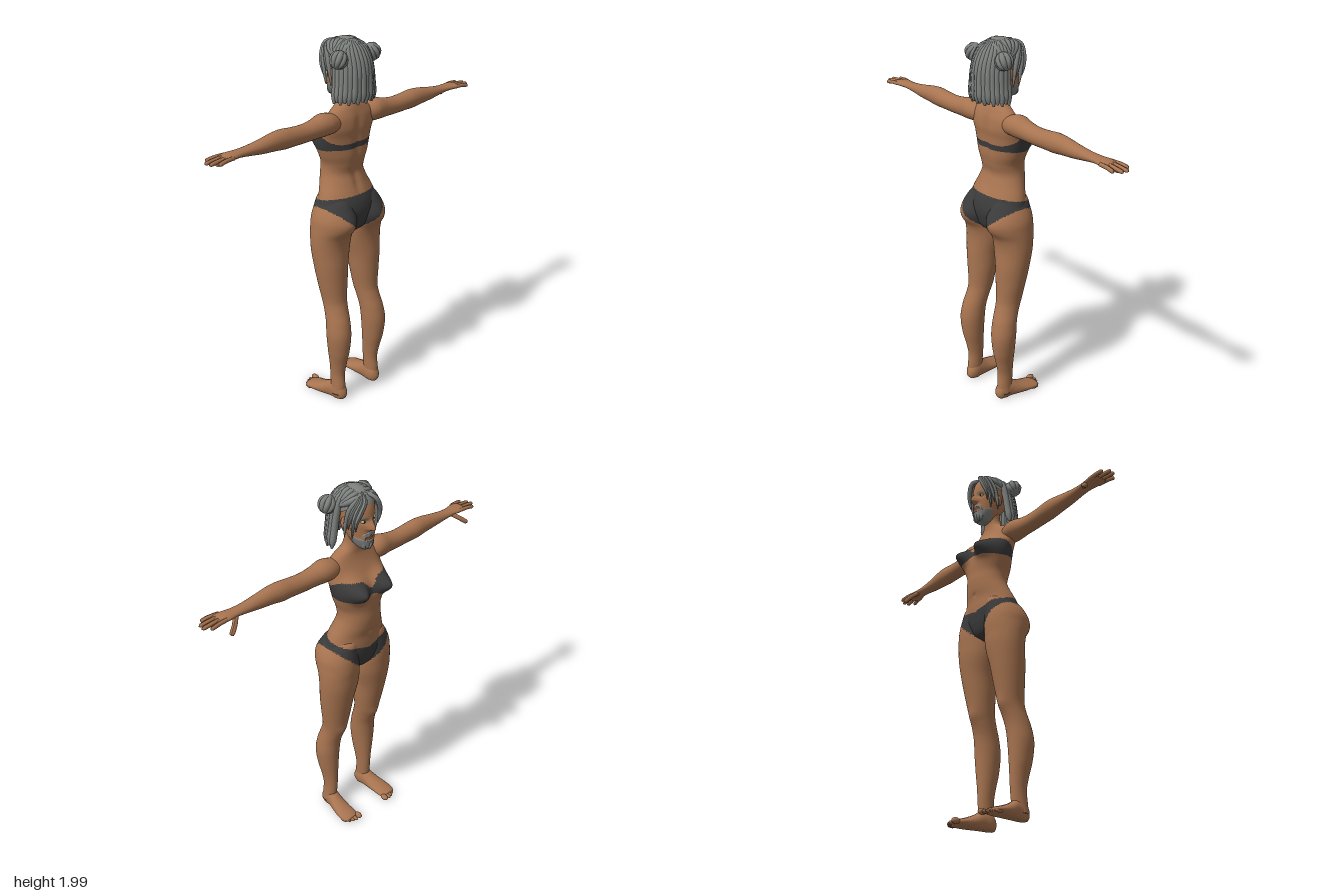
import * as THREE from 'three';

const mat = (name, color) => {
  const m = new THREE.MeshStandardMaterial({ color });
  m.name = name;
  return m;
};
const gauss = (d, s) => Math.exp(-((d / s) ** 2));
const smooth = (a, b, v) => { // works with a > b too
  const t = Math.min(1, Math.max(0, (v - a) / (b - a)));
  return t * t * (3 - 2 * t);
};

// Smooth interpolation of section rows [t, ca, cb, ra, rb] at t
function section(rows, t) {
  let k = 0;
  while (k < rows.length - 2 && t > rows[k + 1][0]) k++;
  const p = rows[k], q = rows[k + 1], h = q[0] - p[0], u = (t - p[0]) / h;
  const before = rows[Math.max(0, k - 1)], after = rows[Math.min(rows.length - 1, k + 2)];
  return p.map((_, c) => {
    const m0 = (q[c] - before[c]) / (q[0] - before[0]) * h;
    const m1 = (after[c] - p[c]) / (after[0] - p[0]) * h;
    const u2 = u * u, u3 = u2 * u;
    return (2 * u3 - 3 * u2 + 1) * p[c] + (u3 - 2 * u2 + u) * m0 + (3 * u2 - 2 * u3) * q[c] + (u3 - u2) * m1;
  });
}

// Closed loft through elliptical sections; `place` maps (t, a, b) to a point, `paint` picks a material
function loft(rows, rings, seg, place, paint = () => 0) {
  const pos = [], t0 = rows[0][0], t1 = rows[rows.length - 1][0];
  for (let i = -1; i <= rings + 1; i++) {
    const end = i < 0 || i > rings;
    const t = t0 + (t1 - t0) * Math.min(1, Math.max(0, i / rings));
    const [, ca, cb, ra, rb] = section(rows, t);
    for (let j = 0; j < seg; j++) {
      const w = j / seg * Math.PI * 2, k = end ? 0.001 : 1;
      pos.push(...place(t, ca + ra * k * Math.cos(w), cb + rb * k * Math.sin(w)));
    }
  }
  const buckets = [];
  const tri = (...v) => {
    const c = [0, 1, 2].map(k => (pos[v[0] * 3 + k] + pos[v[1] * 3 + k] + pos[v[2] * 3 + k]) / 3);
    (buckets[paint(...c)] ??= []).push(...v);
  };
  for (let i = 0; i < rings + 2; i++) {
    for (let j = 0; j < seg; j++) {
      const a = i * seg + j, b = i * seg + (j + 1) % seg;
      tri(a, a + seg, b);
      tri(b, a + seg, b + seg);
    }
  }
  const g = new THREE.BufferGeometry(), index = [];
  g.setAttribute('position', new THREE.Float32BufferAttribute(pos, 3));
  buckets.forEach((list, m) => {
    g.addGroup(index.length, list.length, m);
    for (const v of list) index.push(v);
  });
  g.setIndex(index);
  g.computeVertexNormals();
  return g;
}

// Tapered tube along points
function strand(points, r, taper = u => 0.04 + 0.96 * Math.pow(Math.sin(Math.PI * Math.min(0.985, 0.12 + u * 0.88)), 0.6), n = 18) {
  const curve = new THREE.CatmullRomCurve3(points.map(p => new THREE.Vector3(...p)));
  const g = new THREE.TubeGeometry(curve, n, r, 8), p = g.attributes.position, v = new THREE.Vector3();
  for (let i = 0; i < p.count; i++) {
    const u = Math.floor(i / 9) / n, c = curve.getPointAt(u);
    v.fromBufferAttribute(p, i).sub(c).multiplyScalar(taper(u)).add(c);
    p.setXYZ(i, v.x, v.y, v.z);
  }
  g.computeVertexNormals();
  return g;
}
const ball = (x, y, z, rx, ry, rz) => new THREE.SphereGeometry(1, 20, 14).scale(rx, ry, rz).translate(x, y, z);
const finger = u => (u < 0.85 ? 1 : Math.sqrt(Math.max(0.001, 1 - ((u - 0.85) / 0.15) ** 2)));

function mirrored(geo) {
  const g = geo.clone().scale(-1, 1, 1), ix = g.index.array;
  for (let i = 0; i < ix.length; i += 3) [ix[i], ix[i + 1]] = [ix[i + 1], ix[i]];
  return g;
}

export function createModel() {
  const model = new THREE.Group();
  model.name = 'figure';
  const skin = mat('skin', 0xa87450), hair = mat('grey hair', 0x7d817e), cloth = mat('dark cloth', 0x3b3b3c);
  const lip = mat('lips', 0x8a5140), white = mat('eye white', 0xd8d4cc), dark = mat('dark iris', 0x2c2420);
  const add = (name, geo, m) => {
    const mesh = new THREE.Mesh(geo, m);
    mesh.name = name;
    model.add(mesh);
  };
  const both = (name, geo, m) => {
    add('left' + name, geo, m);
    add('right' + name, mirrored(geo), m);
  };

  // Bandeau and briefs, painted on the body by rule
  const clothes = (x, y, z) => {
    const ax = Math.abs(x), f = smooth(0.09, -0.05, z), mid = gauss(x, 0.035) * f;
    if (y > 1.44 - 0.01 * f + 0.02 * mid && y < 1.468 + 0.062 * f - 0.05 * mid) return 1;
    const top = 1.19 - smooth(0.12, -0.08, z) * (0.025 + 0.25 * Math.max(0, 0.18 - ax));
    return y > 0.965 + 0.92 * ax && y < top ? 1 : 0;
  };

  // Torso and neck
  const torso = [
    [0.97, 0, 0.02, 0.04, 0.05], [1.0, 0, 0.02, 0.1, 0.09], [1.05, 0, 0.02, 0.165, 0.11],
    [1.1, 0, 0.02, 0.19, 0.118], [1.15, 0, 0.015, 0.178, 0.116], [1.2, 0, 0.005, 0.16, 0.108],
    [1.25, 0, -0.01, 0.138, 0.104], [1.3, 0, -0.02, 0.122, 0.1], [1.35, 0, -0.015, 0.122, 0.105],
    [1.4, 0, -0.012, 0.14, 0.11], [1.45, 0, -0.01, 0.155, 0.108], [1.5, 0, 0, 0.163, 0.1],
    [1.55, 0, 0.02, 0.167, 0.085], [1.6, 0, 0.03, 0.158, 0.068], [1.64, 0, 0.03, 0.12, 0.054],
    [1.67, 0, 0.025, 0.07, 0.047], [1.7, 0, 0.02, 0.05, 0.045], [1.76, 0, 0.01, 0.048, 0.045]];
  add('torso', loft(torso, 160, 96, (y, x, z) => {
    const ax = Math.abs(x), front = smooth(0.02, -0.05, z), back = smooth(0.02, 0.08, z);
    const bust = 0.075 * gauss(ax - 0.088, 0.05) * gauss(y - 1.48, 0.05) * front;
    const spine = 0.01 * gauss(x, 0.025) * smooth(1.15, 1.25, y) * smooth(1.65, 1.55, y) * back;
    const navel = 0.006 * gauss(x, 0.01) * gauss(y - 1.22, 0.012) * front;
    return [x, y, z - bust - spine + navel];
  }, clothes), [skin, cloth]);

  // Legs with buttocks
  const leg = [
    [0.03, 0.135, 0.085, 0.035, 0.04], [0.08, 0.132, 0.08, 0.034, 0.045], [0.15, 0.13, 0.075, 0.035, 0.045],
    [0.22, 0.131, 0.08, 0.042, 0.052], [0.3, 0.134, 0.088, 0.054, 0.063], [0.4, 0.135, 0.09, 0.064, 0.07],
    [0.48, 0.13, 0.079, 0.063, 0.068], [0.55, 0.123, 0.057, 0.062, 0.067], [0.6, 0.12, 0.042, 0.065, 0.07],
    [0.7, 0.121, 0.03, 0.08, 0.08], [0.8, 0.122, 0.02, 0.093, 0.09], [0.9, 0.116, 0.01, 0.108, 0.098],
    [0.97, 0.113, 0.012, 0.112, 0.106], [1.02, 0.112, 0.02, 0.11, 0.118], [1.07, 0.108, 0.023, 0.108, 0.12],
    [1.12, 0.1, 0.02, 0.095, 0.112], [1.17, 0.09, 0.01, 0.07, 0.095], [1.2, 0.08, 0, 0.04, 0.06]];
  both('Leg', loft(leg, 180, 56, (y, x, z) => {
    const seat = 0.024 * gauss(x - 0.1, 0.08) * gauss(y - 1.05, 0.06) * smooth(0.03, 0.1, z);
    const kneecap = 0.008 * gauss(x - 0.12, 0.03) * gauss(y - 0.58, 0.04) * smooth(0.03, -0.02, z);
    return [Math.max(0.001, x), y, z + seat - kneecap];
  }, clothes), [skin, cloth]);

  // Feet and toes
  const foot = [
    [-0.125, 0.013, 0.15, 0.012, 0.035], [-0.1, 0.016, 0.148, 0.018, 0.05], [-0.05, 0.022, 0.146, 0.028, 0.05],
    [0, 0.03, 0.14, 0.04, 0.045], [0.05, 0.042, 0.133, 0.056, 0.038], [0.09, 0.04, 0.13, 0.06, 0.037],
    [0.12, 0.035, 0.13, 0.04, 0.028], [0.134, 0.03, 0.13, 0.014, 0.012]];
  both('Foot', loft(foot, 40, 28, (z, y, x) => [x, Math.max(0, y), z]), skin);
  for (let i = 0; i < 5; i++) {
    const r = i ? 0.0115 - i * 0.0007 : 0.016;
    both('Toe', ball(i ? 0.115 + i * 0.0185 : 0.106, r, -0.13 + i * i * 0.0022, r, r, 0.024), skin);
  }

  // Arms and palms
  const arm = [
    [0.1, 0.035, 1.58, 0.045, 0.045], [0.16, 0.035, 1.588, 0.06, 0.055], [0.2, 0.035, 1.588, 0.058, 0.057],
    [0.25, 0.037, 1.582, 0.05, 0.05], [0.32, 0.038, 1.577, 0.046, 0.046], [0.4, 0.04, 1.58, 0.046, 0.047],
    [0.46, 0.04, 1.583, 0.047, 0.05], [0.52, 0.042, 1.585, 0.043, 0.045], [0.6, 0.043, 1.582, 0.037, 0.035],
    [0.68, 0.042, 1.582, 0.032, 0.024], [0.74, 0.042, 1.584, 0.034, 0.018], [0.79, 0.044, 1.585, 0.043, 0.016],
    [0.825, 0.046, 1.584, 0.043, 0.012], [0.84, 0.046, 1.583, 0.03, 0.006]];
  both('Arm', loft(arm, 70, 28, (x, z, y) => [x, y, z]), skin);
  // Fingers and thumbs
  [[0.892, 0.004], [0.92, 0.034], [0.915, 0.062], [0.885, 0.092]].forEach(([tip, z], i) => {
    const root = 0.012 + i * 0.023;
    both('Finger', strand([[0.79, 1.586, root], [0.84, 1.586, (root + z) / 2], [tip, 1.579, z]], 0.0105, finger), skin);
  });
  both('Thumb', strand([[0.735, 1.58, 0.025], [0.765, 1.557, -0.005], [0.808, 1.524, -0.032]], 0.013, finger), skin);

  // Head with nose, sockets, painted beard, moustache, brows and lips
  const head = [
    [1.69, 0, -0.052, 0.026, 0.03], [1.7, 0, -0.047, 0.036, 0.046], [1.73, 0, -0.035, 0.052, 0.064],
    [1.77, 0, -0.02, 0.064, 0.081], [1.82, 0, -0.005, 0.073, 0.099], [1.87, 0, 0.005, 0.078, 0.112],
    [1.92, 0, 0.01, 0.076, 0.108], [1.96, 0, 0.01, 0.058, 0.083], [1.985, 0, 0.01, 0.02, 0.03]];
  const beard = (x, y, z) => {
    const ax = Math.abs(x);
    if (z > -0.025) return false;
    const lower = y < 1.742 + 0.5 * Math.max(0, ax - 0.03);
    const moustache = y > 1.772 - 0.35 * ax && y < 1.789 - 0.35 * ax && ax < 0.036;
    const sides = ax > 0.027 && ax < 0.038 && y < 1.775;
    return lower || moustache || sides;
  };
  add('head', loft(head, 110, 96, (y, x, z) => {
    const ax = Math.abs(x), front = smooth(-0.02, -0.07, z);
    const ridge = smooth(1.868, 1.808, y) * smooth(1.79, 1.806, y);
    const nose = 0.032 * gauss(x, 0.011 + 0.006 * ridge) * ridge;
    const socket = 0.012 * gauss(ax - 0.032, 0.02) * gauss(y - 1.843, 0.014);
    const mouth = 0.007 * gauss(x, 0.022) * gauss(y - 1.763, 0.009);
    const tuft = beard(x, y, z) ? 0.006 : 0;
    return [x * (1 + tuft * 4), y, z + front * (socket - nose - mouth - tuft)];
  }, (x, y, z) => {
    const ax = Math.abs(x);
    if (beard(x, y, z)) return 1;
    if (z < -0.05 && ax > 0.014 && ax < 0.052 && Math.abs(y - 1.866 + Math.abs(ax - 0.038) * 0.25) < 0.004) return 1;
    return z < -0.05 && ax < 0.024 && Math.abs(y - 1.761) < 0.0065 - ax * 0.15 ? 2 : 0;
  }), [skin, hair, lip]);
  both('EyeWhite', ball(0.032, 1.843, -0.083, 0.014, 0.007, 0.01), white);
  both('Iris', ball(0.032, 1.843, -0.091, 0.0055, 0.006, 0.004), dark);
  both('Ear', ball(0.077, 1.82, 0.005, 0.012, 0.032, 0.019).rotateY(0.03), skin);
  for (let i = -2; i <= 2; i++) { // chin beard tufts
    const x = i * 0.013;
    add('beardTuft', strand([[x, 1.735, -0.097 + Math.abs(x) * 0.5], [x, 1.71, -0.097 + Math.abs(x) * 0.6],
      [x * 0.6, 1.687, -0.082]], 0.011), hair);
  }

  // Scalp hair: tilted cap, higher at the forehead
  const cap = new THREE.SphereGeometry(1, 48, 24, 0, Math.PI * 2, 0, 1.62).scale(0.089, 0.108, 0.122);
  hair.side = THREE.DoubleSide;
  add('hairCap', cap.rotateX(0.42).translate(0, 1.884, 0.018), hair);
  // Bob of locks at the back
  for (let i = 0; i < 17; i++) {
    const w = (i / 16 - 0.5) * 3.35, s = Math.sin(w), c = Math.cos(w), d = i % 2 ? 0.005 : 0;
    add('backLock', strand([[0.02 * s, 1.985, 0.025 + 0.03 * c], [0.08 * s, 1.945, 0.03 + 0.078 * c],
      [0.096 * s, 1.86, 0.045 + 0.096 * c], [0.106 * s, 1.77, 0.052 + (0.093 + d) * c],
      [0.121 * s, 1.682 + d * 2, 0.055 + (0.093 + d) * c]], 0.018,
    u => (u > 0.9 ? 1 - (u - 0.9) * 7 : 0.35 + 0.65 * Math.min(1, u * 2.5))), hair);
  }
  // Crown locks swept to the sides
  for (let i = 0; i < 6; i++) {
    const z = -0.06 + i * 0.025;
    both('CrownLock', strand([[0.004, 1.984 - Math.abs(z - 0.01) * 0.25, z], [0.045, 1.975 - Math.abs(z) * 0.25, z + 0.004],
      [0.078, 1.935, z * 0.7 + 0.02], [0.092, 1.9, 0.05 + z * 0.25]], 0.016), hair);
  }
  // Fringe and face-framing locks
  for (let i = 0; i < 4; i++) {
    both('FringeLock', strand([[0.008, 1.975, -0.045], [0.035 + i * 0.008, 1.952, -0.098 + i * 0.012],
      [0.062 + i * 0.006, 1.9, -0.098 + i * 0.02], [0.077 + i * 0.003, 1.85 - (i % 2) * 0.02, -0.085 + i * 0.022],
      [0.074 + i * 0.004, 1.8 - (i % 2) * 0.045, -0.075 + i * 0.022]], 0.0125), hair);
  }
  // Twisted buns
  both('BunCore', ball(0.115, 1.908, 0.075, 0.04, 0.043, 0.04), hair);
  for (let i = 0; i < 4; i++) {
    const coil = new THREE.TorusGeometry(0.032, 0.015, 10, 24).rotateY(i * Math.PI / 4).rotateZ(0.5);
    both('BunCoil', coil.translate(0.117, 1.908, 0.075), hair);
  }
  return model;
}
